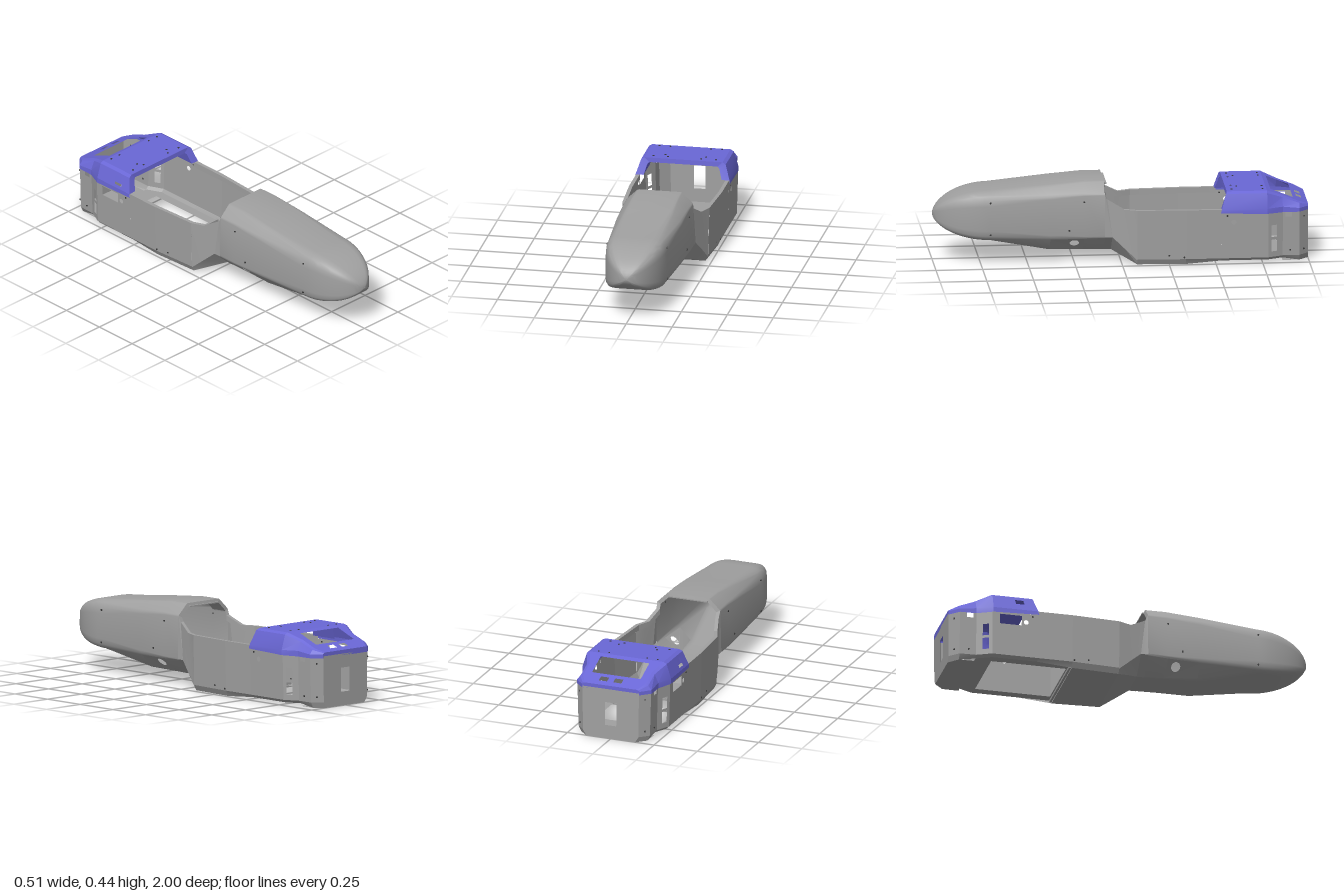
import * as THREE from 'three';
import { toCreasedNormals } from 'three/addons/utils/BufferGeometryUtils.js';

const mat = (name, color, side = THREE.DoubleSide) => {
  const m = new THREE.MeshStandardMaterial({ color, side });
  m.name = name;
  return m;
};

// Surface through rows of [x, y, z] points; skip(row, col) leaves a gap
function skin(rows, crease = 0.5, skip = () => false) {
  const pos = [];
  for (let i = 0; i < rows.length - 1; i++) {
    for (let j = 0; j < rows[i].length - 1; j++) {
      if (skip(i, j)) continue;
      const a = rows[i][j], b = rows[i + 1][j], c = rows[i + 1][j + 1], d = rows[i][j + 1];
      pos.push(...a, ...b, ...c, ...a, ...c, ...d);
    }
  }
  const g = new THREE.BufferGeometry();
  g.setAttribute('position', new THREE.Float32BufferAttribute(pos, 3));
  g.computeVertexNormals();
  return toCreasedNormals(g, crease);
}

// Four-cornered panel with holes given in 0..1 panel coordinates
function patch(a, b, c, d, holes = []) {
  const s = new THREE.Shape([[0, 0], [1, 0], [1, 1], [0, 1]].map(p => new THREE.Vector2(...p)));
  for (const h of holes) {
    const path = new THREE.Path();
    if (h.round) path.absellipse(...h.round, 0, Math.PI * 2, true);
    else {
      const [u0, v0, u1, v1] = h.rect;
      path.setFromPoints([[u0, v0], [u0, v1], [u1, v1], [u1, v0]].map(p => new THREE.Vector2(...p)));
    }
    s.holes.push(path);
  }
  const g = new THREE.ShapeGeometry(s, 10), p = g.attributes.position;
  for (let i = 0; i < p.count; i++) {
    const u = p.getX(i), v = p.getY(i);
    p.setXYZ(i, ...[0, 1, 2].map(k =>
      (1 - v) * ((1 - u) * a[k] + u * b[k]) + v * ((1 - u) * d[k] + u * c[k])));
  }
  g.computeVertexNormals();
  return g;
}

const flip = ([x, y, z]) => [-x, y, z];
const mirrorRow = half => [...half, ...half.slice(0, -1).reverse().map(flip)];

// Half section of the nose with softened corners, top centre to bottom centre
function noseHalf([z, yt, wt, ys, ws, yc, wc, yb, wb, r]) {
  const c = [[0, yt], [wt, yt], [ws, ys], [wc, yc], [wb, yb], [0, yb]];
  const out = [[0, yt, z]];
  for (let i = 1; i < 5; i++) {
    const p = new THREE.Vector2(...c[i]);
    const ends = [c[i - 1], c[i + 1]].map(q => {
      const d = new THREE.Vector2(...q).sub(p), l = d.length();
      return p.clone().addScaledVector(d, Math.min(r, l * 0.42) / l);
    });
    const mid = ends[0].clone().add(ends[1]).multiplyScalar(0.25).addScaledVector(p, 0.5);
    for (const q of [ends[0], mid, ends[1]]) out.push([q.x, q.y, z]);
  }
  out.push([0, yb, z]);
  return out;
}

export function createModel() {
  const root = new THREE.Group();
  root.name = 'fuselage';
  const grey = mat('hull grey', 0xa0a0a0);
  const blue = mat('cover blue', 0x6a67d6);
  const dark = mat('fastener dark', 0x383838, THREE.FrontSide);
  const add = (name, geo, m = grey) => {
    const mesh = new THREE.Mesh(geo, m);
    mesh.name = name;
    root.add(mesh);
    return mesh;
  };

  // Nose: rounded tip shrinking from the first full section, then chamfered body
  const first = [0.7, 0.4, 0.125, 0.36, 0.162, 0.155, 0.165, 0.132, 0.135, 0.035];
  const base = noseHalf(first);
  const halves = [];
  for (let i = 0; i < 16; i++) {
    const t = Math.sin((1 - i / 16) * Math.PI / 2);
    const f = Math.max(0.01, Math.pow(1 - Math.pow(t, 1.9), 0.57));
    halves.push(base.map(([x, y]) => [x * f, 0.255 + (y - 0.255) * f, 0.7 + 0.3 * t]));
  }
  halves.push(base,
    noseHalf([0.38, 0.43, 0.125, 0.375, 0.178, 0.15, 0.18, 0.066, 0.1, 0.014]),
    noseHalf([0.2, 0.445, 0.12, 0.385, 0.18, 0.148, 0.187, 0.062, 0.09, 0.008]),
    noseHalf([0.09, 0.445, 0.118, 0.385, 0.182, 0.15, 0.188, 0.06, 0.09, 0.006]));
  const last = halves.length - 1;
  const noseRows = halves.map(mirrorRow);
  const span = noseRows[0].length - 1;
  add('nose', skin(noseRows, 0.55, (i, j) => i === last - 2 && (j === 9 || j === span - 10)));

  // Lower nose facets with the round axle holes
  const [f0, f1] = [halves[last - 2], halves[last - 1]];
  for (const m of [p => p, flip]) {
    add('noseHolePanel', patch(...[f0[9], f1[9], f1[10], f0[10]].map(m),
      [{ round: [0.72, 0.4, 0.139, 0.27] }]));
  }

  // Frame around the back of the nose
  const frame = mirrorRow(halves[last].slice(0, 7)
    .map(([x, y, z]) => [x, y, z])).length && halves[last].slice(0, 7);
  const frameRow = [...frame.slice(1).reverse(), ...frame.map(flip)];
  const inset = frameRow.map(([x, y, z]) => [x * 0.9, 0.25 + (y - 0.25) * 0.91, z - 0.005]);
  add('noseFrame', skin([frameRow, inset, inset.map(([x, y, z]) => [x, y, z + 0.1])], 0.3));
  const tab = add('noseLip', new THREE.BoxGeometry(0.22, 0.006, 0.04));
  tab.position.set(0, 0.428, 0.095);

  // Flare from the nose section to the cockpit box
  const flare = [
    [[0.182, 0.385, 0.09], [0.188, 0.15, 0.09], [0.09, 0.06, 0.09], [0, 0.06, 0.09]],
    [[0.18, 0.352, 0.075], [0.188, 0.15, 0.05], [0.09, 0.06, 0.05], [0, 0.06, 0.05]],
    [[0.207, 0.305, -0.01], [0.21, 0.09, -0.015], [0.155, 0.033, -0.015], [0, 0.033, -0.015]],
    [[0.237, 0.305, -0.08], [0.228, 0.03, -0.08], [0.215, 0.005, -0.08], [0, 0.005, -0.08]],
  ];
  add('cockpitFlare', skin(flare.map(mirrorRow), 0.25));

  // Side walls: plan points with base height, then holes per panel as [z, y, rz, ry] or windows
  const plan = [[0.237, -0.08, 0.005], [0.253, -0.34, 0.005], [0.253, -0.53, 0.02], [0.253, -0.78, 0.02],
    [0.215, -0.86, 0.02], [0.213, -0.95, 0.005], [0.163, -1, 0.005]];
  const low = 0.035;
  for (const s of [1, -1]) {
    for (let i = 0; i < plan.length - 1; i++) {
      const [xa, za, ya] = plan[i], [xb, zb, yb] = plan[i + 1];
      const top = i < 2 ? 0.305 : 0.285;
      const u = z => (z - za) / (zb - za), v = y => (y - low) / (top - low);
      const rect = (z0, y0, z1, y1) => ({ rect: [u(z0), v(y0), u(z1), v(y1)] });
      const holes = [];
      if (i === 2) {
        if (s < 0) holes.push(rect(-0.62, 0.215, -0.74, 0.27));
        holes.push({ round: [u(-0.595), v(0.235), 0.013 / 0.25, 0.013 / 0.25] });
      }
      if (i === 3) holes.push(rect(-0.797, 0.065, -0.828, 0.13), rect(-0.797, 0.145, -0.828, 0.21));
      if (i === 4) holes.push(rect(-0.875, 0.25, -0.91, 0.28));
      add('sideWall', patch([s * (xa - 0.007), low, za], [s * (xb - 0.007), low, zb],
        [s * xb, top, zb], [s * xa, top, za], holes));
      add('bottomChamfer', patch([s * (xa - 0.007), low, za], [s * (xb - 0.007), low, zb],
        [s * (xb - 0.022), yb, zb], [s * (xa - 0.022), ya, za]));
    }
    // Cockpit rim with an inner lip
    const rim = [...flare.map(r => r[0]), [0.253, 0.305, -0.34], [0.253, 0.305, -0.54]];
    const edge = [0, -0.02].map(d => rim.map(([x, y, z]) => [s * (x + d), y, z]));
    add('cockpitRim', skin([...edge, edge[1].map(([x, y, z]) => [x, y - 0.03, z])], 0.2));
  }

  // Floor with the large opening, and rear wall with its window
  const floor = (z0, z1, w0, w1, y0, y1, holes) => add('floor',
    patch([-w0, y0, z0], [w0, y0, z0], [w1, y1, z1], [-w1, y1, z1], holes));
  floor(-0.08, -0.34, 0.215, 0.231, 0.005, 0.005);
  floor(-0.34, -0.78, 0.231, 0.231, 0.02, 0.02, [{ rect: [0.11, 0.045, 0.89, 0.98] }]);
  floor(-0.78, -0.86, 0.231, 0.193, 0.02, 0.02);
  floor(-0.86, -0.95, 0.193, 0.191, 0.005, 0.005);
  floor(-0.95, -1, 0.191, 0.141, 0.005, 0.005);
  add('floorBeam', new THREE.BoxGeometry(0.45, 0.03, 0.012)).position.set(0, 0.021, -0.348);
  add('rearWall', patch([-0.16, low, -1], [0.16, low, -1], [0.163, 0.285, -1], [-0.163, 0.285, -1],
    [{ rect: [0.4, 0.18, 0.6, 0.7] }]));
  add('rearChamfer', patch([-0.16, low, -1], [0.16, low, -1], [0.141, 0.005, -1], [-0.141, 0.005, -1]));

  // Cover: skirt running around the sides and back
  const side = [
    [[0.257, 0.285, -0.525], [0.256, 0.305, -0.53], [0.23, 0.385, -0.555], [0.212, 0.395, -0.56]],
    [[0.256, 0.277, -0.775], [0.255, 0.305, -0.775], [0.23, 0.385, -0.775], [0.212, 0.395, -0.775]],
    [[0.218, 0.275, -0.86], [0.217, 0.305, -0.86], [0.196, 0.352, -0.86], [0.18, 0.361, -0.86]],
    [[0.216, 0.275, -0.95], [0.215, 0.295, -0.95], [0.196, 0.318, -0.95], [0.18, 0.325, -0.95]],
    [[0.166, 0.275, -1], [0.166, 0.295, -1], [0.16, 0.302, -1], [0.15, 0.305, -1]],
  ];
  const skirt = [...side, ...side.slice().reverse().map(r => r.map(flip))];
  add('coverSkirt', skin(skirt, 0.3, (i, j) => i === skirt.length - 2 && j === 1), blue);
  add('coverHolePanel', patch(...[side[1][1], side[0][1], side[0][2], side[1][2]].map(flip),
    [{ rect: [0.54, 0.2, 0.74, 0.78] }]), blue);

  // Cover: flat top and sloping rear deck with window and two slots
  add('coverTop', patch([-0.212, 0.395, -0.56], [0.212, 0.395, -0.56],
    [0.212, 0.395, -0.775], [-0.212, 0.395, -0.775]), blue);
  add('coverDeck', patch([-0.15, 0.395, -0.775], [0.15, 0.395, -0.775], [0.15, 0.305, -1], [-0.15, 0.305, -1],
    [{ rect: [0.033, 0.11, 0.967, 0.644] }, { rect: [0.333, 0.74, 0.49, 0.87] }, { rect: [0.61, 0.74, 0.767, 0.87] }]), blue);
  for (const s of [1, -1]) {
    add('coverDeckEdge', skin(side.slice(1).map(r => [[s * r[3][0], r[3][1], r[3][2]],
      [s * 0.15, r[3][1], r[3][2]]])), blue);
  }

  // Cover: thick front arch
  const outer = side[0].slice(1);
  const inner = [[0.212, 0.305, -0.532], [0.195, 0.362, -0.553], [0.185, 0.37, -0.558]];
  const arch = h => [...h, ...h.slice().reverse().map(flip)];
  add('coverArch', skin([arch(outer), arch(inner),
    arch(inner.map(([x, y]) => [x, y, -0.7]))], 0.2), blue);

  // Fasteners on the cover top and the side walls
  const stud = new THREE.CylinderGeometry(0.005, 0.005, 0.004, 8);
  for (const [x, z] of [[0.17, -0.755], [0.11, -0.755], [0.11, -0.62], [0.17, -0.59], [0.09, -0.59]]) {
    for (const s of [1, -1]) add('coverScrew', stud, dark).position.set(s * x, 0.396, z);
  }
  for (const [x, y, z] of [[0.242, 0.055, -0.25], [0.247, 0.045, -0.33], [0.253, 0.27, -0.56],
    [0.209, 0.065, -0.9], [0.187, 0.065, -0.975], [0.188, 0.245, -0.975], [0.183, 0.345, 0.2],
    [0.186, 0.19, 0.28], [0.165, 0.17, 0.7], [0.163, 0.345, 0.7]]) {
    for (const s of [1, -1]) {
      const m = add('sideScrew', stud, dark);
      m.rotation.z = Math.PI / 2;
      m.position.set(s * x, y, z);
    }
  }
  return root;
}
